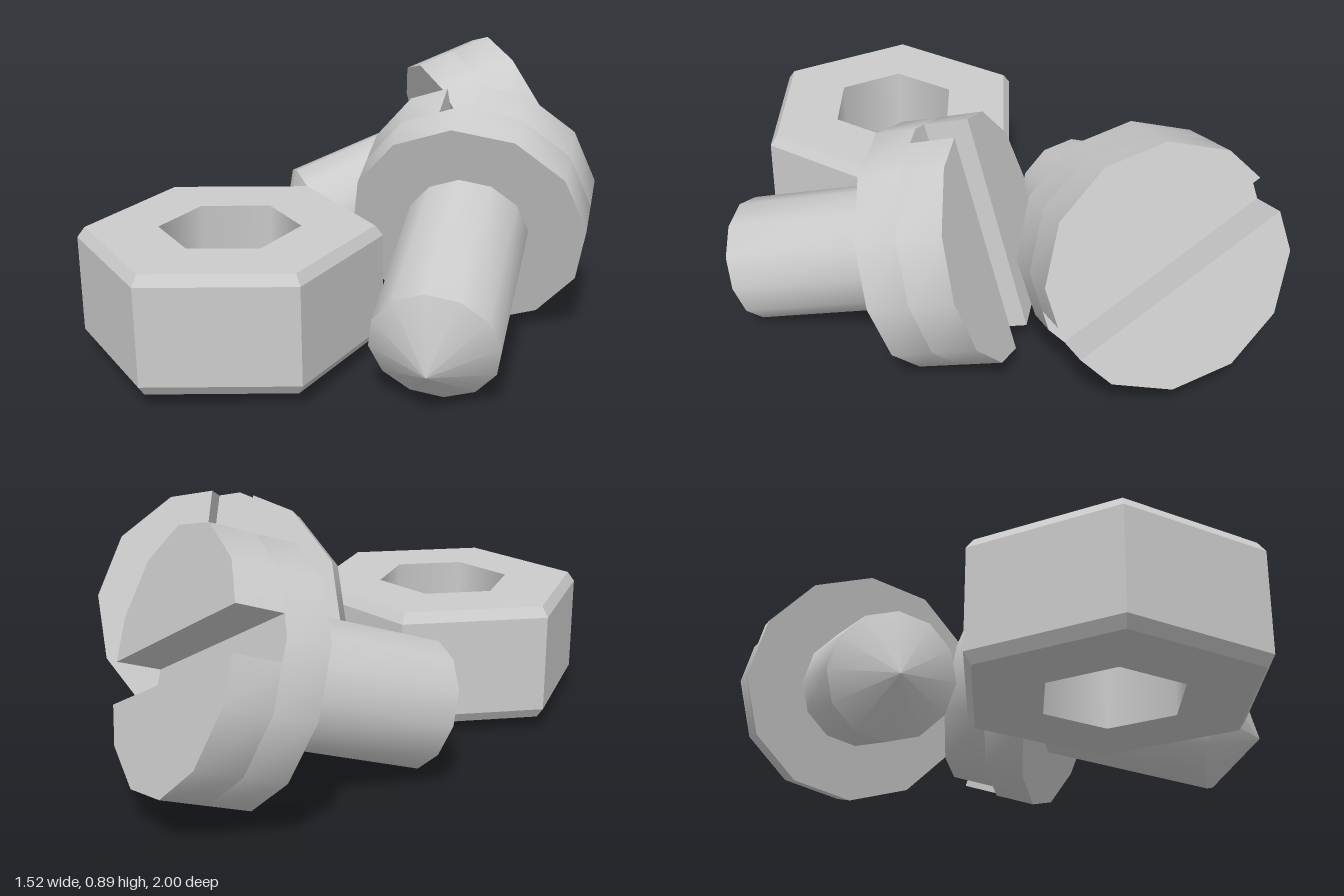
import * as THREE from 'three';
import { toCreasedNormals } from 'three/addons/utils/BufferGeometryUtils.js';

const CREASE = 0.65;
const HEAD_R = 0.405, HEAD_H = 0.29, SLOT_DEPTH = 0.15, SLOT_HALF = 0.068;
const SHANK_R = 0.21, SHANK_END = -0.875, TIP = -1.01, SIDES = 12;

const profile = (pairs) => pairs.map(([x, y]) => new THREE.Vector2(x, y));

function addMesh(parent, name, geometry, material) {
  const mesh = new THREE.Mesh(geometry, material);
  mesh.name = name;
  parent.add(mesh);
  return mesh;
}

// One half of the slotted head top: a 12-sided disc cut off along the slot
function headHalfGeometry() {
  const corner = (i) => {
    const a = (i / SIDES) * Math.PI * 2;
    return new THREE.Vector2(Math.cos(a) * HEAD_R, Math.sin(a) * HEAD_R);
  };
  const cut = (a, b) => a.clone().lerp(b, (SLOT_HALF - a.y) / (b.y - a.y));
  const points = [cut(corner(0), corner(1))];
  for (let i = 1; i < SIDES / 2; i++) points.push(corner(i));
  points.push(cut(corner(6), corner(5)));
  const geometry = new THREE.ExtrudeGeometry(new THREE.Shape(points), {
    depth: SLOT_DEPTH, bevelEnabled: false,
  });
  geometry.rotateX(-Math.PI / 2).translate(0, -SLOT_DEPTH, 0);
  return toCreasedNormals(geometry, CREASE);
}

// Screw with the head top at its origin; axis points to the tip, slot runs along the slot
function createScrew(name, position, axis, slot, material) {
  const screw = new THREE.Group();
  screw.name = name;

  // Pointed shank, underside and lower half of the head up to the slot floor
  const body = new THREE.LatheGeometry(profile([
    [0, TIP], [SHANK_R, SHANK_END], [SHANK_R, -HEAD_H],
    [HEAD_R, -HEAD_H], [HEAD_R, -SLOT_DEPTH], [0, -SLOT_DEPTH],
  ]), SIDES);
  addMesh(screw, 'shankAndHeadBase', toCreasedNormals(body, CREASE), material);

  // Two halves beside the slot
  const half = headHalfGeometry();
  addMesh(screw, 'headHalfA', half, material);
  addMesh(screw, 'headHalfB', half, material).rotation.y = Math.PI;

  // Orient: local y away from the tip, local x along the slot
  const y = new THREE.Vector3(...axis).normalize().negate();
  const z = new THREE.Vector3(...slot).cross(y).normalize();
  const x = new THREE.Vector3().crossVectors(y, z);
  screw.quaternion.setFromRotationMatrix(new THREE.Matrix4().makeBasis(x, y, z));
  screw.position.set(...position);
  return screw;
}

function createNut(material) {
  const nut = new THREE.Group();
  nut.name = 'nut';
  const h = 0.4, bevel = 0.035, outer = 0.503, face = 0.477, hole = 0.235;

  // Chamfered hexagonal outside with its ring-shaped faces
  const shell = new THREE.LatheGeometry(profile([
    [hole, 0], [face, 0], [outer, bevel], [outer, h - bevel], [face, h], [hole, h],
  ]), 6);
  addMesh(nut, 'nutBody', toCreasedNormals(shell, 0.2), material);

  // Hole wall, smooth and facing inwards
  const wall = new THREE.LatheGeometry(profile([[hole, h], [hole, 0]]), 6);
  addMesh(nut, 'nutHole', wall, material);

  nut.position.set(-0.124, 0.042, 0.532);
  nut.rotation.y = THREE.MathUtils.degToRad(25.5);
  return nut;
}

export function createModel() {
  const model = new THREE.Group();
  model.name = 'screwsAndNut';
  const material = new THREE.MeshStandardMaterial({ color: 0xcccccc });
  model.add(
    createNut(material),
    createScrew('leftScrew', [0.05, 0.47, -0.388], [0.629, -0.305, 0.715], [0.131, 0.949, 0.289], material),
    createScrew('rightScrew', [-0.295, 0.5, -0.852], [-0.281, -0.318, 0.906], [-0.345, 0.18, -0.044], material),
  );
  return model;
}
